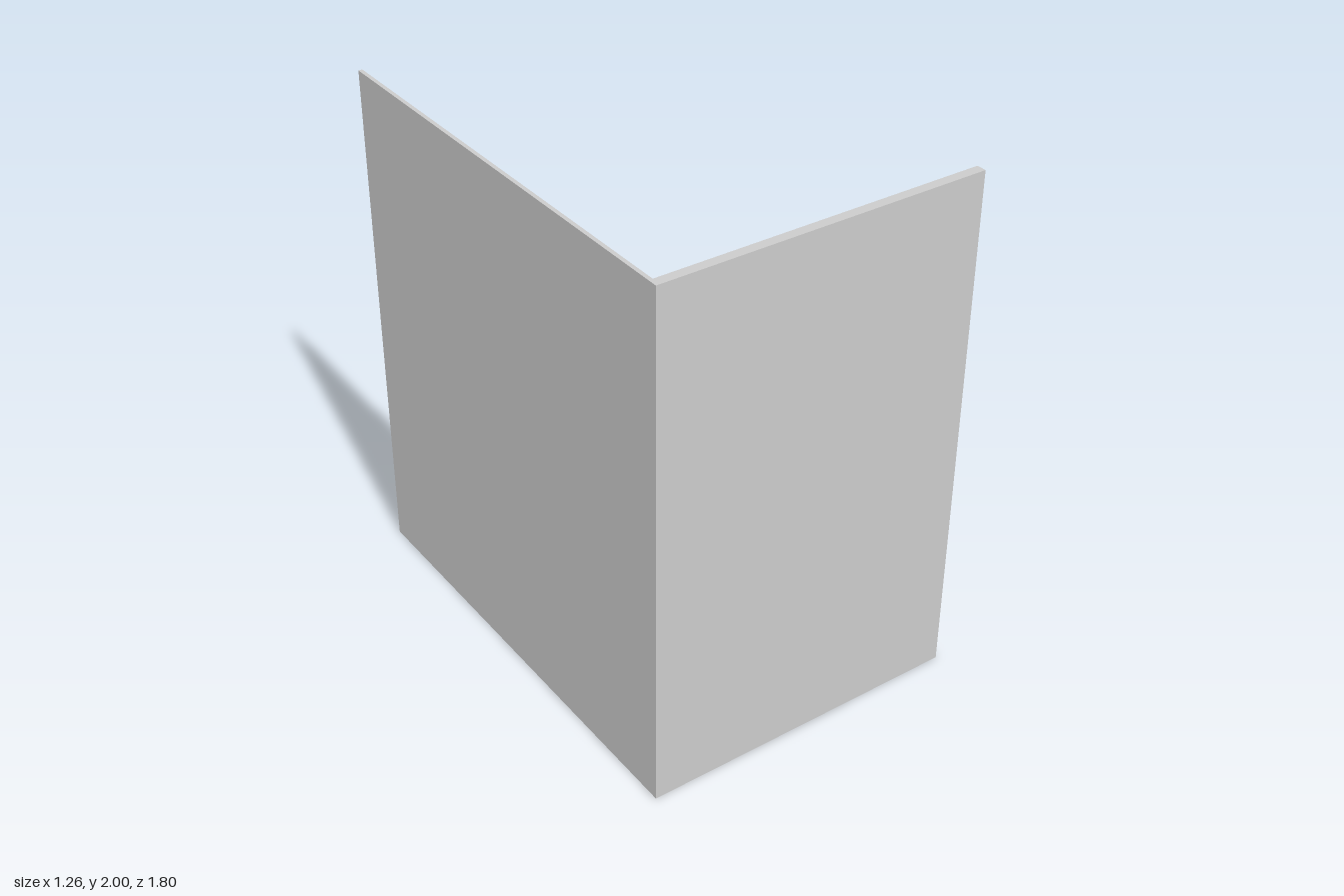
import * as THREE from 'three';

export function createModel() {
  const group = new THREE.Group();
  const material = new THREE.MeshStandardMaterial({ color: 0xcccccc, flatShading: true });
  const X = 0.628, Z = 0.9, H = 2;
  const front = 0.037, floor = 0.04;   // panel thicknesses
  const wall = 0.015, skirt = 0.033, skirtTop = 0.228;

  // Floor, skirting and side wall: one stepped L profile run from back to front
  const profile = new THREE.Shape([
    [-X, 0], [X, 0], [X, floor], [-X + skirt, floor],
    [-X + skirt, skirtTop], [-X + wall, skirtTop], [-X + wall, H], [-X, H],
  ].map(([x, y]) => new THREE.Vector2(x, y)));
  const base = new THREE.Mesh(
    new THREE.ExtrudeGeometry(profile, { depth: 2 * Z - front, bevelEnabled: false }), material);
  base.name = 'floorAndSideWall';
  base.position.z = -Z;
  group.add(base);

  // Full-height panel closing the front
  const panel = new THREE.Mesh(new THREE.BoxGeometry(2 * X, H, front), material);
  panel.name = 'frontWall';
  panel.position.set(0, H / 2, Z - front / 2);
  group.add(panel);

  return group;
}
